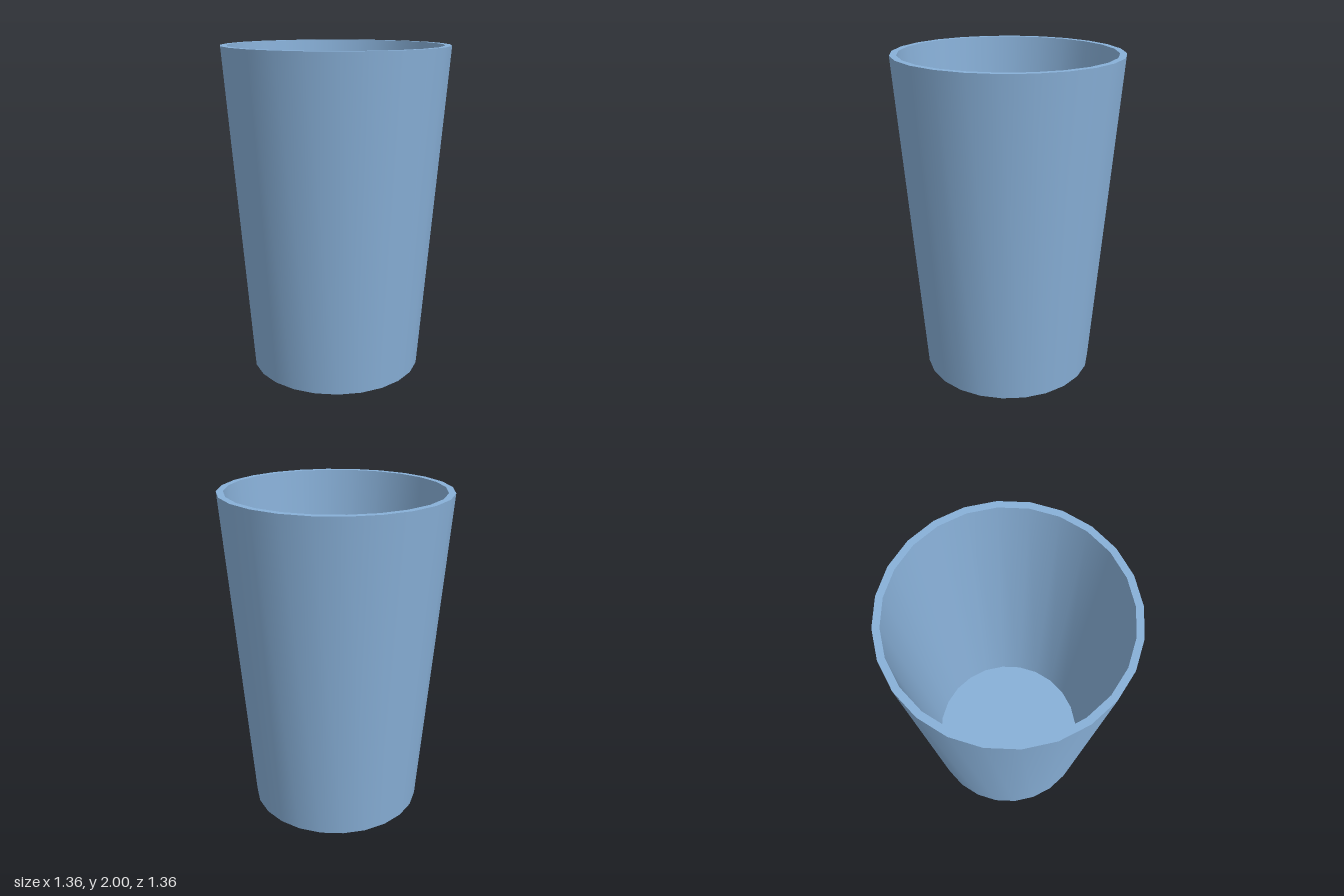
import * as THREE from 'three';

const SIDES = 24;
const FLOOR = 0.07; // thickness of the base
const OUTER = { bottom: 0.53, top: 0.68 };
const INNER = { bottom: 0.5, top: 0.64 };

export function createModel() {
  const cup = new THREE.Group();
  cup.name = 'cup';
  const material = new THREE.MeshStandardMaterial({ color: 0x88b0d8 });

  // Each band is turned on its own, so the rims stay sharp and the walls smooth
  const band = (name, r0, y0, r1, y1) => {
    const profile = [new THREE.Vector2(r0, y0), new THREE.Vector2(r1, y1)];
    const mesh = new THREE.Mesh(new THREE.LatheGeometry(profile, SIDES), material);
    mesh.name = name;
    cup.add(mesh);
  };

  // Profile runs from the underside, up the outside, over the rim and down inside
  band('underside', 0, 0, OUTER.bottom, 0);
  band('outerWall', OUTER.bottom, 0, OUTER.top, 2);
  band('rim', OUTER.top, 2, INNER.top, 2);
  band('innerWall', INNER.top, 2, INNER.bottom, FLOOR);
  band('insideFloor', INNER.bottom, FLOOR, 0, FLOOR);

  return cup;
}
